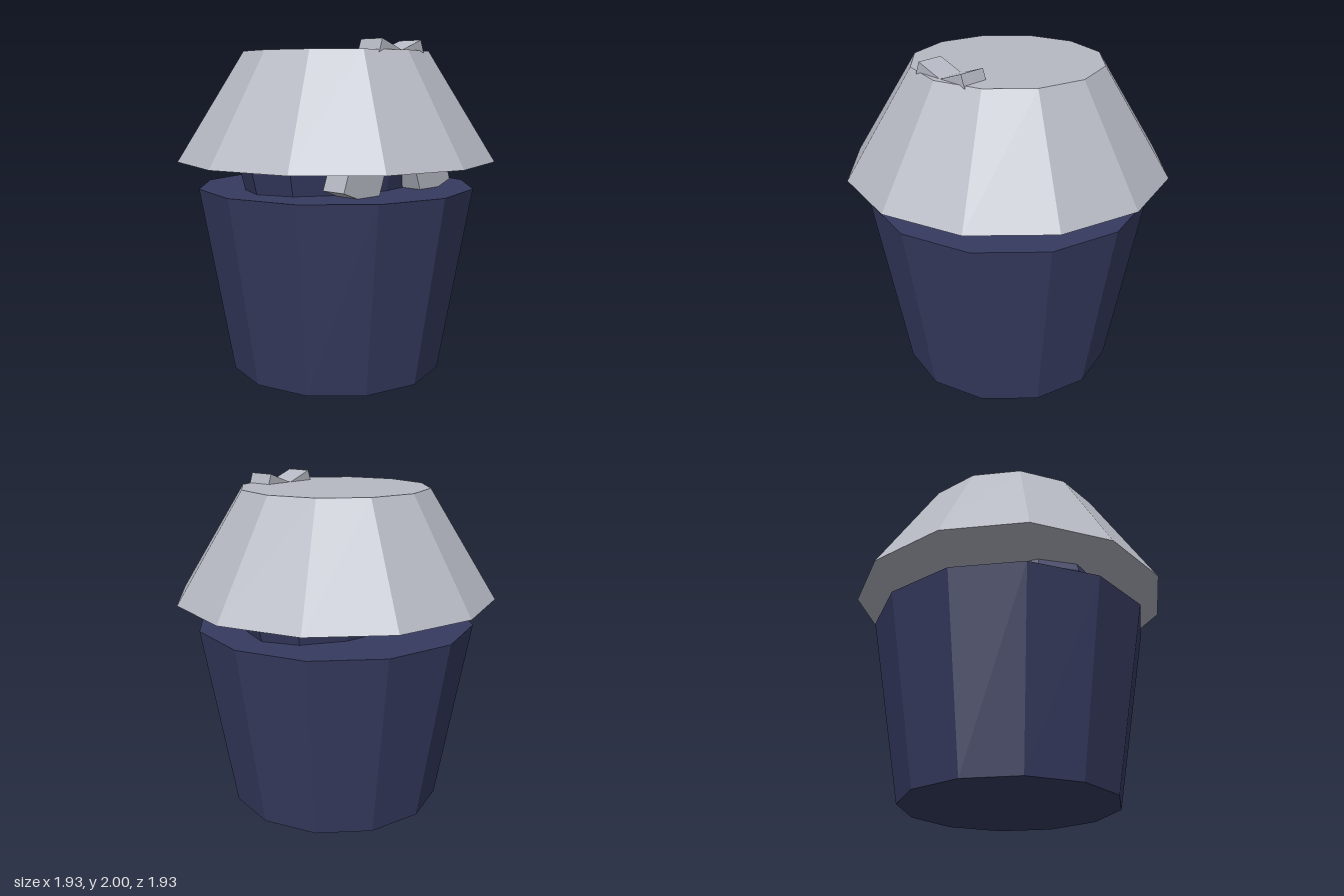
import * as THREE from 'three';

const SIDES = 12;

export function createModel() {
  const model = new THREE.Group();
  const navy = new THREE.MeshStandardMaterial({ name: 'navy', color: 0x363b60, flatShading: true });
  const grey = new THREE.MeshStandardMaterial({ name: 'paleGrey', color: 0xb6b9c3, flatShading: true });

  const add = (name, geometry, material, x, y, z) => {
    const mesh = new THREE.Mesh(geometry, material);
    mesh.name = name;
    mesh.position.set(x, y, z);
    model.add(mesh);
    return mesh;
  };

  // Tapered frustum standing between two heights
  const frustum = (name, rBottom, rTop, y0, y1, material) =>
    add(name, new THREE.CylinderGeometry(rTop, rBottom, y1 - y0, SIDES), material, 0, (y0 + y1) / 2, 0);

  // Tapered cup and wide sloping lid
  frustum('cup', 0.65, 0.845, 0, 1.13, navy);
  frustum('lid', 0.967, 0.565, 1.295, 1.94, grey);

  // Flattened filling, showing in the gap between cup and lid
  const filling = new THREE.SphereGeometry(1, SIDES, 8);
  filling.scale(0.67, 0.5, 0.44);
  add('filling', filling, navy, 0, 1.25, 0);

  // Two leaning slabs that cross inside the lid and poke out above and below
  const lean = THREE.MathUtils.degToRad(20);
  const width = 0.285, length = 0.883;
  for (const side of [-1, 1]) {
    const slab = add(side < 0 ? 'rightSlab' : 'leftSlab',
      new THREE.BoxGeometry(width, length, 0.16), grey, side * 0.184, 1.536, 0.443);
    slab.rotation.z = side * lean;
  }

  return model;
}
